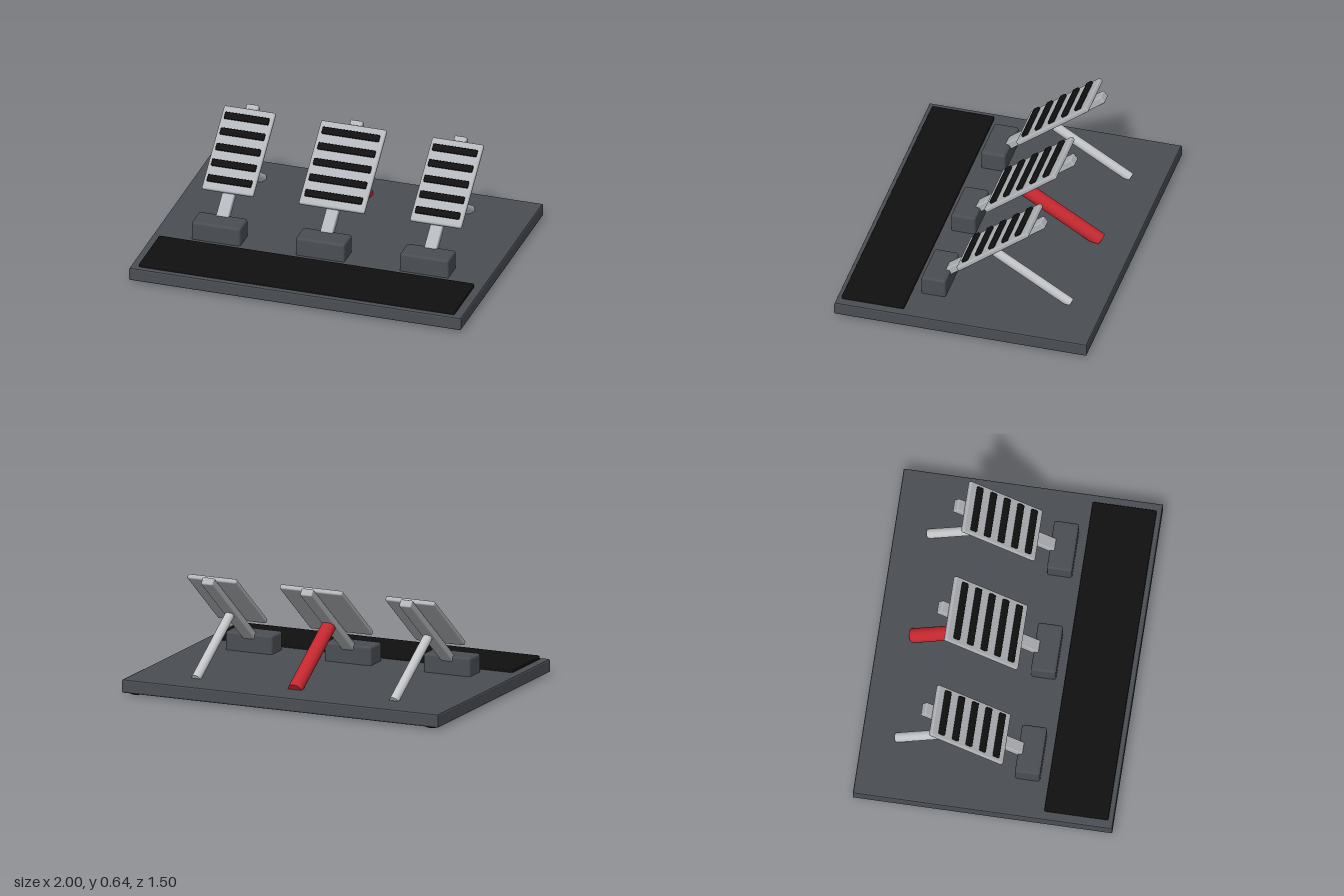
import * as THREE from 'three';
import { RoundedBoxGeometry } from 'three/addons/geometries/RoundedBoxGeometry.js';

const paint = (name, color) => {
  const m = new THREE.MeshStandardMaterial({ color });
  m.name = name;
  return m;
};

const charcoal = paint('charcoal', 0x4a4e54);
const rubber = paint('black rubber', 0x101010);
const silver = paint('silver', 0xb2b5b9);
const steel = paint('light steel', 0xc2c4c7);
const red = paint('red', 0xc4272f);

const TILT = 0.668; // pedal slope

function add(parent, name, geometry, material, x = 0, y = 0, z = 0) {
  const mesh = new THREE.Mesh(geometry, material);
  mesh.name = name;
  mesh.position.set(x, y, z);
  parent.add(mesh);
  return mesh;
}

const rounded = (w, h, d, r) => new RoundedBoxGeometry(w, h, d, 2, r);

function rectangle(Type, hx, hy) {
  return new Type([
    new THREE.Vector2(-hx, -hy), new THREE.Vector2(hx, -hy),
    new THREE.Vector2(hx, hy), new THREE.Vector2(-hx, hy),
  ]);
}

// Cylinder running between two points
function rod(parent, name, a, b, radius, material) {
  const dir = b.clone().sub(a);
  const mesh = add(parent, name, new THREE.CylinderGeometry(radius, radius, dir.length(), 32), material);
  mesh.position.copy(a).add(b).multiplyScalar(0.5);
  mesh.quaternion.setFromUnitVectors(new THREE.Vector3(0, 1, 0), dir.normalize());
}

function makeBase() {
  const base = new THREE.Group();
  base.name = 'base';

  // Bevelled rim, open underneath
  const outline = rectangle(THREE.Shape, 0.99, 0.74);
  outline.holes.push(rectangle(THREE.Path, 0.97, 0.72));
  const rim = new THREE.ExtrudeGeometry(outline, {
    depth: 0.06, bevelEnabled: true, bevelSize: 0.01, bevelThickness: 0.01, bevelSegments: 2,
  });
  rim.rotateX(-Math.PI / 2);
  add(base, 'baseRim', rim, charcoal, 0, 0.02, 0);

  // Deck closing the top of the rim
  add(base, 'deck', new THREE.BoxGeometry(1.94, 0.02, 1.44), charcoal, 0, 0.08, 0);

  // Heel mat set through the deck
  add(base, 'heelMat', rounded(1.9, 0.044, 0.37, 0.008), rubber, 0, 0.09, 0.535);

  // Corner feet
  for (const sx of [-1, 1]) {
    for (const sz of [-1, 1]) {
      add(base, 'foot', new THREE.CylinderGeometry(0.037, 0.037, 0.07, 24), rubber, sx * 0.935, 0.035, sz * 0.685);
    }
  }
  return base;
}

function makePedal(name, x, plateWidth, gripWidth, rodRadius, rodMaterial) {
  const pedal = new THREE.Group();
  pedal.name = name;
  pedal.position.x = x;

  // Hinge block
  add(pedal, 'hingeBlock', rounded(0.295, 0.132, 0.145, 0.015), charcoal, 0, 0.134, 0.226);

  // Sloping arm, face plate and grips share one tilted frame
  const slope = new THREE.Group();
  slope.name = 'slopingParts';
  slope.position.set(0, 0.468, -0.128);
  slope.rotation.x = TILT;
  pedal.add(slope);
  add(slope, 'arm', rounded(0.075, 0.046, 0.72, 0.008), silver, 0, -0.038, 0.05);
  add(slope, 'facePlate', rounded(plateWidth, 0.03, 0.532, 0.01), silver);
  for (let i = -2; i <= 2; i++) {
    add(slope, 'gripStrip', rounded(gripWidth, 0.018, 0.042, 0.006), rubber, 0, 0.022, i * 0.1);
  }

  // Damper from the arm down to the deck
  rod(pedal, 'damper', new THREE.Vector3(0, 0.362, -0.1), new THREE.Vector3(0, 0.087, -0.55), rodRadius, rodMaterial);
  return pedal;
}

export function createModel() {
  const model = new THREE.Group();
  model.name = 'pedalSet';
  model.add(
    makeBase(),
    makePedal('rightPedal', -0.627, 0.31, 0.267, 0.028, steel),
    makePedal('middlePedal', 0, 0.395, 0.345, 0.042, red),
    makePedal('leftPedal', 0.627, 0.31, 0.267, 0.028, steel),
  );
  return model;
}
